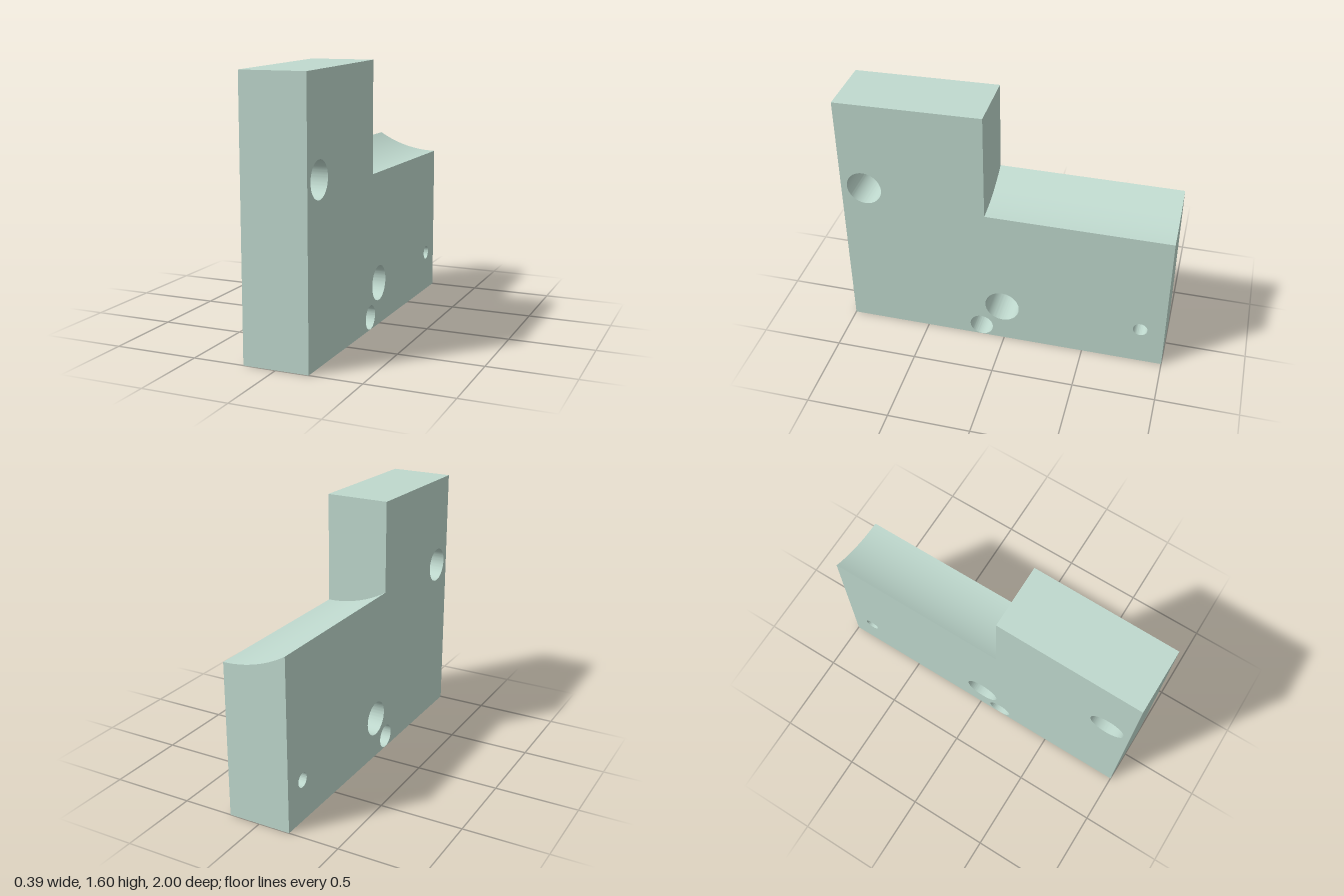
import * as THREE from 'three';
import { toCreasedNormals } from 'three/addons/utils/BufferGeometryUtils.js';

const WIDTH = 0.388;
const LEDGE = 0.935;      // low side of the ledge, at +x
const LEDGE_RISE = 0.11;  // extra height at -x

export function createModel() {
  const group = new THREE.Group();
  group.name = 'steppedBlock';

  // Side profile, drawn as (-z, y)
  const profile = new THREE.Shape([
    [-1, 0], [1, 0], [1, LEDGE], [-0.117, LEDGE], [-0.117, 1.6], [-1, 1.58],
  ].map(([u, v]) => new THREE.Vector2(u, v)));

  // Round through holes: z, y, radius
  for (const [z, y, r] of [
    [0.855, 1.013, 0.107],
    [0.013, 0.256, 0.107],
    [0.147, 0.075, 0.073],
    [-0.851, 0.256, 0.044],
  ]) {
    const hole = new THREE.Path();
    hole.absarc(-z, y, r, 0, Math.PI * 2, true);
    profile.holes.push(hole);
  }

  // Extrude across the width
  const geometry = new THREE.ExtrudeGeometry(profile, {
    depth: WIDTH, steps: 20, curveSegments: 48, bevelEnabled: false,
  });
  geometry.rotateY(Math.PI / 2);
  geometry.translate(-WIDTH / 2, 0, 0);

  // Bend the ledge into a concave arc, level at +x and rising towards -x
  const radius = (WIDTH ** 2 + LEDGE_RISE ** 2) / (2 * LEDGE_RISE);
  const pos = geometry.attributes.position;
  for (let i = 0; i < pos.count; i++) {
    if (Math.abs(pos.getY(i) - LEDGE) > 1e-5 || pos.getZ(i) > 0.12) continue;
    const d = WIDTH / 2 - pos.getX(i);
    pos.setY(i, LEDGE + radius - Math.sqrt(radius ** 2 - d ** 2));
  }

  const material = new THREE.MeshStandardMaterial({ color: 0xbfd9ce });
  const block = new THREE.Mesh(toCreasedNormals(geometry, Math.PI / 6), material);
  block.name = 'drilledBlock';
  group.add(block);
  return group;
}
